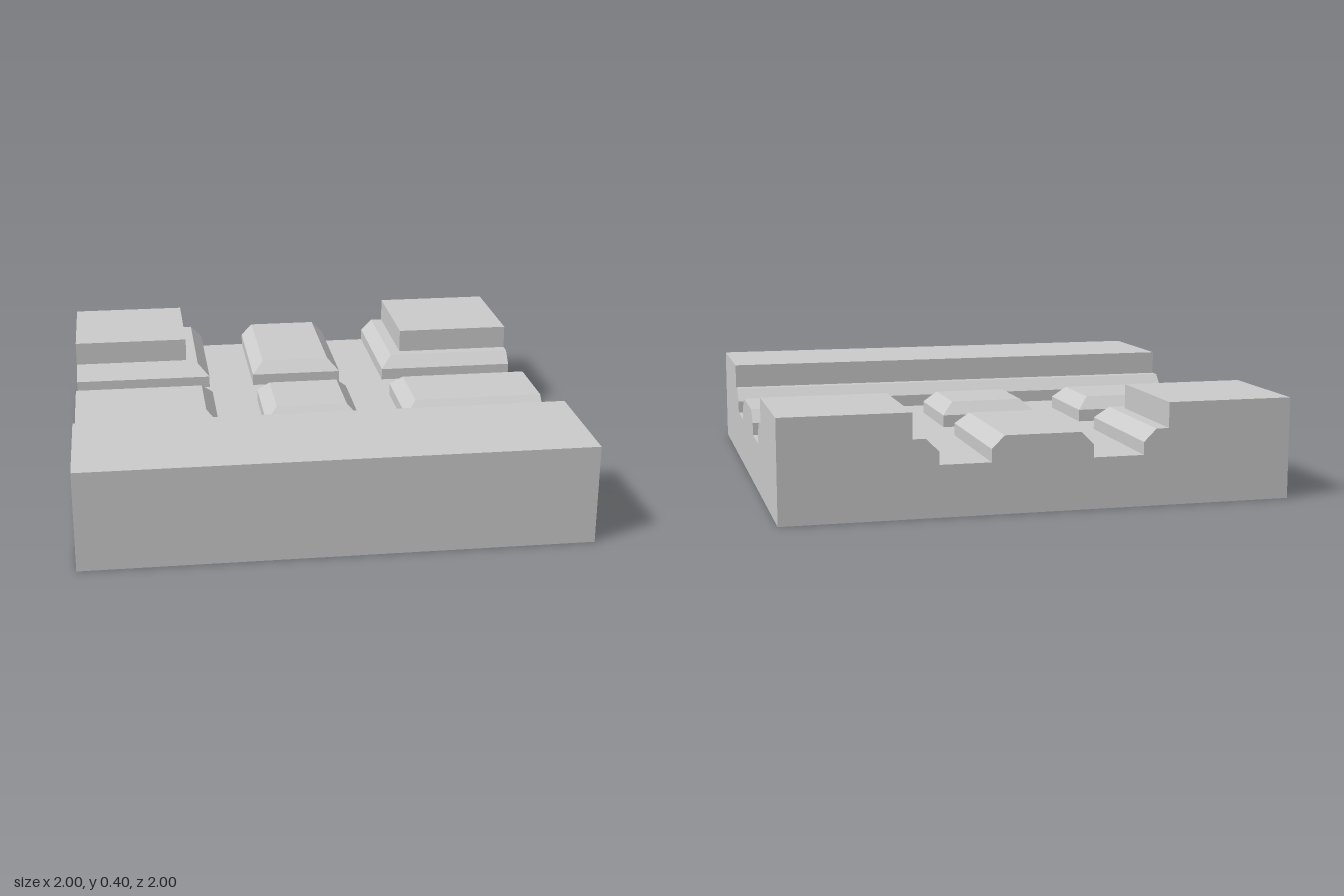
import * as THREE from 'three';

const HALF = 1;      // half width of the square tile
const FLOOR = 0.2;   // height of the channel floor

// [inset, height] steps of a bevelled slab, and of one with a raised block on top
const LOW = [[0, FLOOR], [0, 0.25], [0.05, 0.3]];
const HIGH = [...LOW, [0.1, 0.3], [0.1, 0.4]];

// Stack of rectangular rings; edges lying on the tile's border stay flush with it
function steppedSlab(x0, x1, z0, z1, steps) {
  const shift = (v, d) => (Math.abs(v) === HALF ? v : v + d);
  const rings = steps.map(([d, y]) => {
    const l = shift(x0, d), r = shift(x1, -d), b = shift(z0, d), f = shift(z1, -d);
    return [[l, y, f], [r, y, f], [r, y, b], [l, y, b]].map((p) => new THREE.Vector3(...p));
  });
  const points = [];
  const triangle = (a, b, c) => {
    if (new THREE.Triangle(a, b, c).getArea() > 1e-8) points.push(a, b, c);
  };
  const quad = (a, b, c, d) => { triangle(a, b, c); triangle(a, c, d); };
  for (let k = 0; k < rings.length - 1; k++) {
    for (let i = 0; i < 4; i++) {
      const j = (i + 1) % 4;
      quad(rings[k][i], rings[k][j], rings[k + 1][j], rings[k + 1][i]);
    }
  }
  quad(...rings[rings.length - 1]);
  const geometry = new THREE.BufferGeometry().setFromPoints(points);
  geometry.computeVertexNormals();
  return geometry;
}

export function createModel() {
  const group = new THREE.Group();
  const material = new THREE.MeshStandardMaterial({ color: 0xcccccc, flatShading: true });
  const add = (name, geometry) => {
    const mesh = new THREE.Mesh(geometry, material);
    mesh.name = name;
    group.add(mesh);
  };

  // Base slab whose top is the floor of the channels
  add('base', new THREE.BoxGeometry(2 * HALF, FLOOR, 2 * HALF).translate(0, FLOOR / 2, 0));

  // Full-width raised block along the front
  add('frontBlock', steppedSlab(-1, 1, 0.4, 1, HIGH));

  // Three columns: raised back corners, low slabs between and across the middle row
  const columns = [['right', -1, -0.4, HIGH], ['centre', -0.2, 0.2, LOW], ['left', 0.4, 1, HIGH]];
  for (const [side, x0, x1, backSteps] of columns) {
    add(side + 'BackBlock', steppedSlab(x0, x1, -1, -0.4, backSteps));
    add(side + 'MiddleSlab', steppedSlab(x0, x1, -0.2, 0.2, LOW));
  }
  return group;
}
